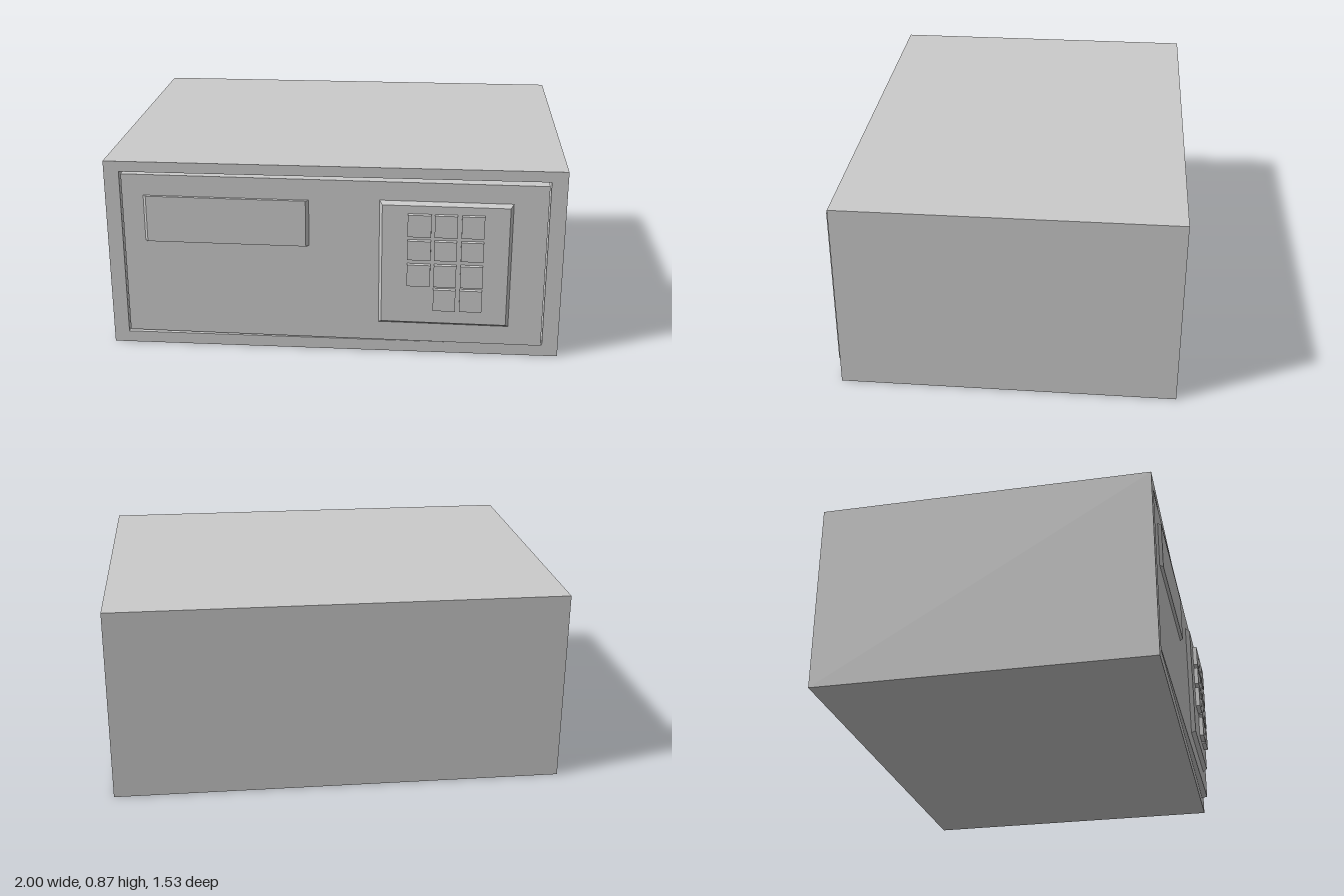
import * as THREE from 'three';

const material = new THREE.MeshStandardMaterial({ color: 0xcccccc, flatShading: true });

function addMesh(parent, name, geometry, x = 0, y = 0, z = 0) {
  const mesh = new THREE.Mesh(geometry, material);
  mesh.name = name;
  mesh.position.set(x, y, z);
  parent.add(mesh);
  return mesh;
}

// Box without its front (+z) face, optionally turned inside out
function openBox(w, h, d, inward = false) {
  const geo = new THREE.BoxGeometry(w, h, d);
  const index = Array.from(geo.index.array).filter((_, i) => i < 24 || i >= 30);
  geo.setIndex(inward ? index.reverse() : index);
  geo.clearGroups();
  geo.computeVertexNormals();
  return geo;
}

// Slab standing on z = 0 whose front face is narrowed by an inset on each axis
function taperedSlab(w, h, d, insetX, insetY) {
  const geo = new THREE.BoxGeometry(w, h, d).translate(0, 0, d / 2);
  const p = geo.attributes.position;
  for (let i = 0; i < p.count; i++) {
    if (p.getZ(i) < d / 2) continue;
    p.setX(i, p.getX(i) - Math.sign(p.getX(i)) * insetX);
    p.setY(i, p.getY(i) - Math.sign(p.getY(i)) * insetY);
  }
  geo.computeVertexNormals();
  return geo;
}

function rectangle(PathType, x0, y0, x1, y1) {
  return new PathType([[x0, y0], [x1, y0], [x1, y1], [x0, y1]].map(([x, y]) => new THREE.Vector2(x, y)));
}

export function createModel() {
  const safe = new THREE.Group();
  safe.name = 'safe';

  // Hollow cabinet with a rectangular door opening
  const front = 0.705, back = -0.767, height = 0.865;
  const cabinet = new THREE.Group();
  cabinet.name = 'cabinet';
  safe.add(cabinet);
  addMesh(cabinet, 'shell', openBox(2, height, front - back), 0, height / 2, (front + back) / 2);
  const rim = rectangle(THREE.Shape, -1, 0, 1, height);
  rim.holes.push(rectangle(THREE.Path, -0.933, 0.052, 0.93, 0.818));
  addMesh(cabinet, 'frontRim', new THREE.ShapeGeometry(rim), 0, 0, front);
  addMesh(cabinet, 'interior', openBox(1.863, 0.766, 1.4, true), -0.0015, 0.435, front - 0.7);

  // Door hinged on its right edge and standing very slightly ajar
  const hingeX = -0.925;
  const door = new THREE.Group();
  door.name = 'door';
  door.position.set(hingeX, 0, 0.704);
  door.rotation.y = -0.0143;
  safe.add(door);
  addMesh(door, 'doorPanel', new THREE.BoxGeometry(1.847, 0.746, 0.06), 1.847 / 2, 0.435, -0.03);

  // Raised display plate, chamfered at its two ends
  addMesh(door, 'displayPlate', taperedSlab(0.727, 0.21, 0.014, 0.013, 0), -0.467 - hingeX, 0.608, 0);

  // Keypad base with chamfered edges
  addMesh(door, 'keypadBase', taperedSlab(0.572, 0.574, 0.02, 0.013, 0.014), 0.489 - hingeX, 0.437, 0);

  // Keys: three full rows and two keys in the last one
  const columns = [0.377, 0.491, 0.606];
  const rows = [0.624, 0.511, 0.394, 0.28];
  rows.forEach((y, r) => columns.forEach((x, c) => {
    if (r === 3 && c === 0) return;
    const w = c === 0 ? 0.101 : 0.097, h = r === 1 ? 0.088 : 0.1;
    addMesh(door, `key${r * 3 + c + 1}`, new THREE.BoxGeometry(w, h, 0.02), x - hingeX, y, 0.03);
  }));

  return safe;
}
